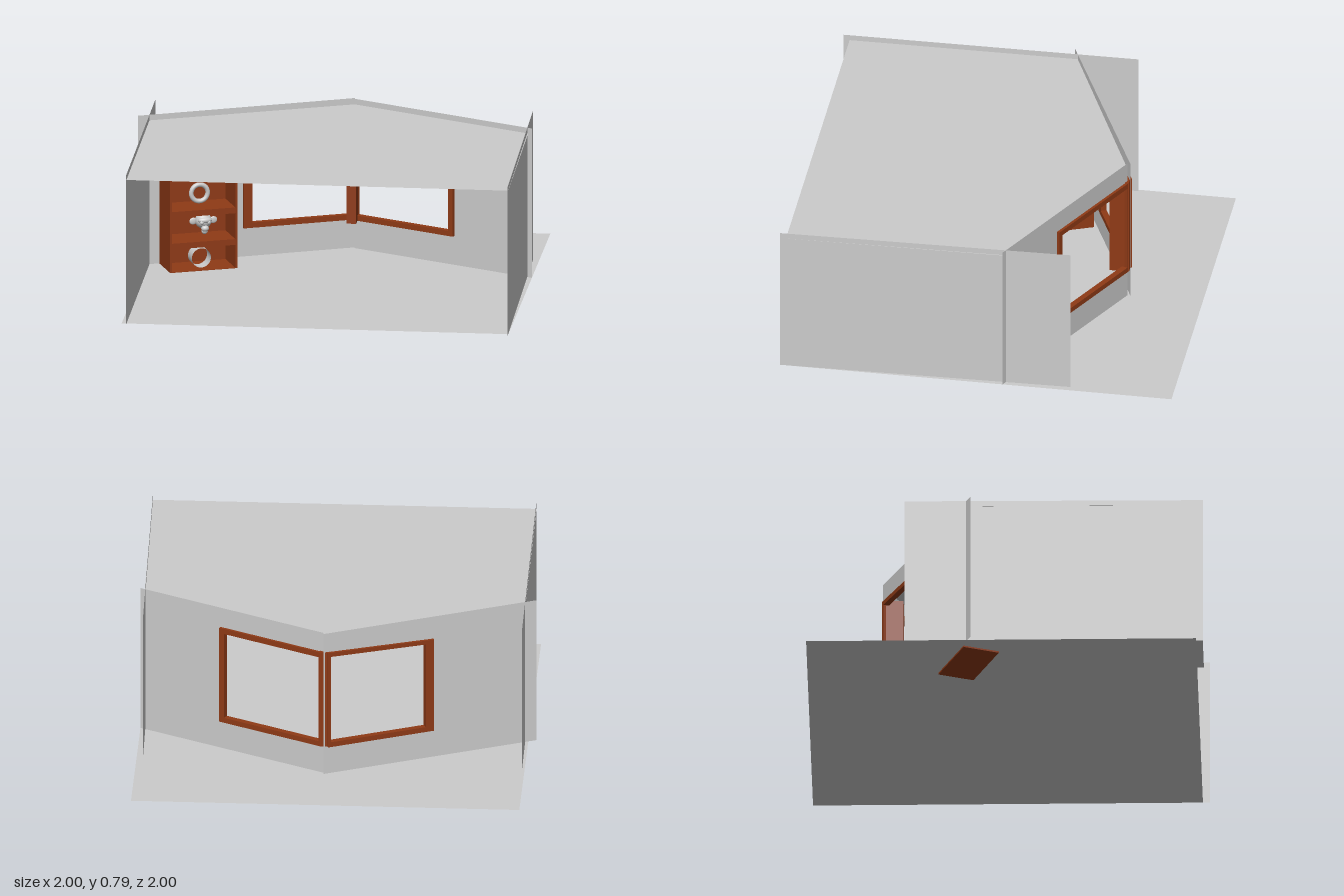
import * as THREE from 'three';

const grey = new THREE.MeshStandardMaterial({ color: 0xcccccc, side: THREE.DoubleSide });
const wood = new THREE.MeshStandardMaterial({ color: 0x8f3a16, side: THREE.DoubleSide });

function add(parent, name, geometry, material, x = 0, y = 0, z = 0) {
  const mesh = new THREE.Mesh(geometry, material);
  mesh.name = name;
  mesh.position.set(x, y, z);
  parent.add(mesh);
  return mesh;
}

const outline = (pts) => pts.map(([x, y]) => new THREE.Vector2(x, y));

const rect = (x0, y0, x1, y1) => [[x0, y0], [x1, y0], [x1, y1], [x0, y1]];

function shapeOf(pts, hole) {
  const shape = new THREE.Shape(outline(pts));
  if (hole) shape.holes.push(new THREE.Path(outline(hole)));
  return shape;
}

// Thin upright wall from plan point a to plan point b, with an optional opening
function wall(parent, name, a, b, hole) {
  const dx = b[0] - a[0], dz = b[1] - a[1];
  const group = new THREE.Group();
  group.name = name;
  group.position.set(a[0], 0, a[1]);
  group.rotation.y = Math.atan2(-dz, dx);
  parent.add(group);
  const shape = shapeOf(rect(0, 0.008, Math.hypot(dx, dz), 0.787), hole);
  add(group, name + 'Panel', new THREE.ShapeGeometry(shape), grey);
  return group;
}

function windowFrame(parent, name, outer, inner) {
  const geometry = new THREE.ExtrudeGeometry(shapeOf(outer, inner), { depth: 0.03, bevelEnabled: false });
  add(parent, name, geometry, wood, 0, 0, -0.014);
}

// Small ornament: a monkey head made of stretched spheres
function monkeyHead(x, y, z) {
  const head = new THREE.Group();
  head.name = 'monkeyHead';
  head.position.set(x, y, z);
  const ball = (name, px, py, pz, sx, sy, sz) =>
    add(head, name, new THREE.SphereGeometry(1, 20, 14), grey, px, py, pz).scale.set(sx, sy, sz);
  ball('skull', 0, 0.012, -0.01, 0.043, 0.04, 0.042);
  ball('brow', 0, 0.02, 0.018, 0.036, 0.016, 0.02);
  ball('muzzle', 0, -0.022, 0.022, 0.02, 0.016, 0.018);
  ball('chin', 0, -0.038, 0.014, 0.016, 0.015, 0.015);
  for (const s of [-1, 1]) {
    ball('ear', s * 0.053, 0.012, -0.01, 0.02, 0.018, 0.006);
    ball('eye', s * 0.018, 0.01, 0.028, 0.011, 0.011, 0.009);
  }
  return head;
}

function bookcase() {
  const unit = new THREE.Group();
  unit.name = 'bookcase';
  unit.position.set(-0.695, 0, -0.186);
  unit.rotation.y = 0.39;
  const W = 0.352, D = 0.19, H = 0.625, t = 0.01;
  const board = (name, w, h, d, x, y, z) =>
    add(unit, name, new THREE.BoxGeometry(w, h, d), wood, x, y, z);
  for (const s of [-1, 1]) board('side', t, H, D, s * (W - t) / 2, H / 2, 0);
  board('back', W - t, H, t, 0, H / 2, -(D - t) / 2);
  board('base', W - t, t, D, 0, t / 2, 0);
  board('top', W - t, t, D, 0, H - t / 2, 0);
  for (const y of [0.145, 0.31, 0.485]) board('shelf', W - 2 * t, 0.03, D - t, 0, y, t / 2);

  // Ornaments, one in each compartment
  unit.add(monkeyHead(0.03, 0.566, 0.01), monkeyHead(0.025, 0.232, 0.01));
  add(unit, 'ringOrnament', new THREE.TorusGeometry(0.043, 0.012, 12, 40), grey, 0.002, 0.392, 0.01);
  const tube = new THREE.CylinderGeometry(0.05, 0.05, 0.07, 32, 1, true);
  tube.rotateX(Math.PI / 2);
  add(unit, 'tubeOrnament', tube, grey, 0.002, 0.061, 0.01);
  return unit;
}

export function createModel() {
  const room = new THREE.Group();
  room.name = 'room';

  // Floor and five-sided ceiling
  const floor = new THREE.ShapeGeometry(shapeOf(rect(-0.96, -1, 1, 0.965)));
  add(room, 'floor', floor.rotateX(Math.PI / 2), grey, 0, 0.008, 0);
  const ceiling = new THREE.ShapeGeometry(shapeOf(
    [[-0.937, 0.97], [1, 0.97], [0.98, -0.147], [0.05, -0.615], [-0.945, -0.194]]));
  add(room, 'ceiling', ceiling.rotateX(Math.PI / 2), grey, 0, 0.758, 0);

  // Side walls running past the back walls
  wall(room, 'rightSideWall', [-0.935, 1], [-0.947, -0.505]);
  wall(room, 'leftSideWall', [0.968, -0.478], [1, 1]);

  // Angled back walls with framed openings
  const backRight = wall(room, 'backRightWall', [-1, -0.17], [0.05, -0.63], rect(0.585, 0.17, 1.125, 0.66));
  windowFrame(backRight, 'rightWindowFrame',
    [[0.555, 0.158], [1.125, 0.158], [1.125, 0.683], [0.555, 0.665]],
    [[0.6, 0.185], [1.11, 0.185], [1.11, 0.66], [0.6, 0.645]]);
  const backLeft = wall(room, 'backLeftWall', [0.05, -0.615], [1, -0.137], rect(0.01, 0.17, 0.585, 0.665));
  windowFrame(backLeft, 'leftWindowFrame',
    rect(0, 0.158, 0.598, 0.68), rect(0.02, 0.185, 0.57, 0.652));

  // Deep post between the two windows
  add(room, 'cornerPost', new THREE.BoxGeometry(0.05, 0.525, 0.1), wood, 0.042, 0.421, -0.576);

  room.add(bookcase());
  return room;
}
